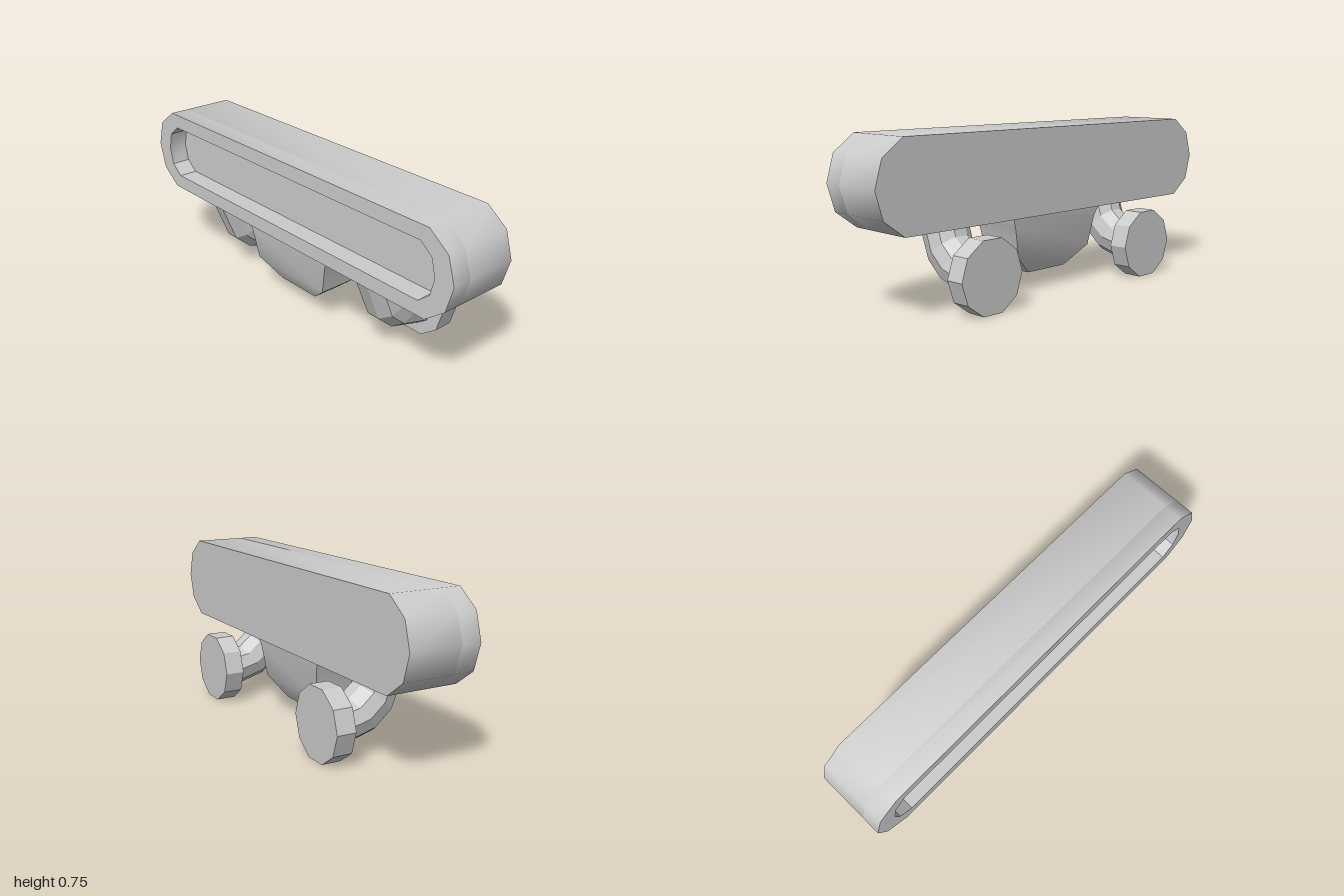
import * as THREE from 'three';
import { toCreasedNormals } from 'three/addons/utils/BufferGeometryUtils.js';

const material = new THREE.MeshStandardMaterial({ color: 0xcccccc });
const flatMaterial = new THREE.MeshStandardMaterial({ color: 0xcccccc, flatShading: true });
const MID_Y = 0.555;

function addMesh(parent, name, geometry, mat = material) {
  const mesh = new THREE.Mesh(geometry, mat);
  mesh.name = name;
  parent.add(mesh);
  return mesh;
}

// Long outline with faceted round ends; the corner is given for the upper right.
function capsulePoints(corner) {
  const mirror = (list, sx, sy) => list.map(([x, y]) => new THREE.Vector2(x * sx, MID_Y + y * sy));
  const back = [...corner].reverse();
  return [
    ...mirror(corner, 1, 1),
    ...mirror(back, -1, 1),
    ...mirror(corner.slice(1), -1, -1),
    ...mirror(back.slice(0, -1), 1, -1),
  ];
}

function extrude(shape, z0, z1) {
  const geometry = new THREE.ExtrudeGeometry(shape, { depth: z1 - z0, bevelEnabled: false });
  return toCreasedNormals(geometry.translate(0, 0, z0), 0.645);
}

// Bent pipe: each ring has a centre and an outer half-vector, both as [z, y].
function pipeGeometry() {
  const sides = 10, radius = 0.105;
  const rings = [
    { c: [0.12, 0.42], v: [0.099, -0.036] },
    { c: [0.055, 0.24], v: [0.0775, -0.069] },
    { c: [-0.015, 0.18], v: [0.065, -0.081] },
    { c: [-0.121, 0.153], v: [0.003, -0.103] },
  ];
  const positions = [], index = [];
  for (const { c, v } of rings) {
    for (let j = 0; j < sides; j++) {
      const a = (j / sides) * Math.PI * 2, s = Math.sin(a);
      positions.push(radius * Math.cos(a), c[1] + v[1] * s, c[0] + v[0] * s);
    }
  }
  for (let i = 0; i < rings.length - 1; i++) {
    for (let j = 0; j < sides; j++) {
      const a = i * sides + j, b = i * sides + (j + 1) % sides;
      index.push(a, b, a + sides, b, b + sides, a + sides);
    }
  }
  // End caps
  const last = (rings.length - 1) * sides;
  for (let j = 1; j < sides - 1; j++) {
    index.push(0, j + 1, j, last, last + j, last + j + 1);
  }
  const geometry = new THREE.BufferGeometry();
  geometry.setAttribute('position', new THREE.Float32BufferAttribute(positions, 3));
  geometry.setIndex(index);
  geometry.computeVertexNormals();
  return geometry;
}

export function createModel() {
  const model = new THREE.Group();
  model.name = 'wallFixture';

  // Housing: solid back plus a front rim around a shallow recess
  const outer = capsulePoints([[1, 0], [0.965, 0.12], [0.865, 0.195]]);
  const inner = capsulePoints([[0.905, 0], [0.885, 0.08], [0.825, 0.128]]);
  const housing = new THREE.Group();
  housing.name = 'housing';
  model.add(housing);
  addMesh(housing, 'housingBack', extrude(new THREE.Shape(outer), -0.115, 0.125));
  const rim = new THREE.Shape(outer);
  rim.holes.push(new THREE.Path(inner));
  addMesh(housing, 'frontRim', extrude(rim, 0.125, 0.215));

  // Central block: four-sided, narrowing towards a flat bottom
  const profile = [[0, 0.08], [0.118, 0.08], [0.23, 0.17], [0.26, 0.31], [0.283, 0.36], [0.285, 0.4]]
    .map(([x, y]) => new THREE.Vector2(x * Math.SQRT2, y));
  const block = new THREE.LatheGeometry(profile, 4, Math.PI / 4);
  block.scale(1, 1, 0.47).translate(-0.022, 0, 0.049);
  addMesh(model, 'centreBlock', toCreasedNormals(block, 0.66));

  // Two bent pipes, each ending in a ten-sided flange
  const pipe = pipeGeometry();
  const flange = new THREE.CylinderGeometry(0.167, 0.167, 0.09, 10, 1, false, Math.PI / 2);
  flange.rotateX(Math.PI / 2);
  for (const [side, x] of [['left', 0.503], ['right', -0.514]]) {
    const leg = new THREE.Group();
    leg.name = side + 'Bracket';
    leg.position.x = x;
    addMesh(leg, side + 'Pipe', pipe, flatMaterial);
    addMesh(leg, side + 'Flange', flange, flatMaterial).position.set(0, 0.16, -0.17);
    model.add(leg);
  }
  return model;
}
